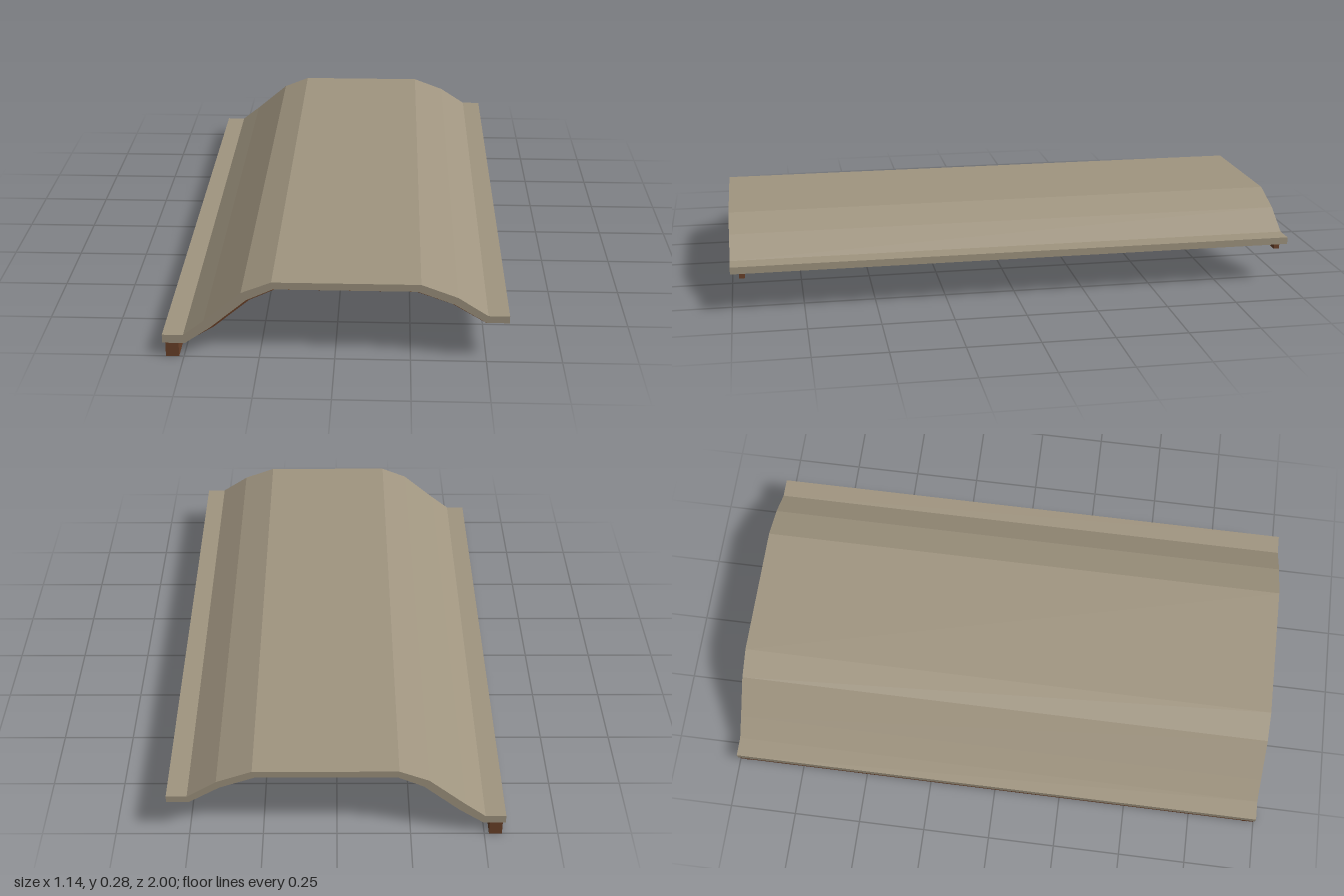
import * as THREE from 'three';

// Cross-section lines running from right edge (-x) to left edge (+x)
const topLine = [[-0.57, 0.08], [-0.5, 0.08], [-0.43, 0.135], [-0.305, 0.24], [-0.205, 0.28],
  [0.28, 0.28], [0.4, 0.235], [0.5, 0.17], [0.57, 0.17]];
const underLine = [[-0.57, 0.05], [-0.495, 0.05], [-0.41, 0.11], [-0.288, 0.214], [-0.2, 0.255],
  [0.27, 0.255], [0.39, 0.21], [0.495, 0.145], [0.57, 0.145]];
const ribLine = [[-0.57, 0.036], [-0.5, 0.036], [-0.4, 0.098], [-0.28, 0.2], [-0.197, 0.239],
  [0.267, 0.239], [0.385, 0.196], [0.495, 0.129], [0.57, 0.129]];

// Solid band between two lines, centred on z
function band(upper, lower, depth) {
  const points = [...lower, ...[...upper].reverse()].map(([x, y]) => new THREE.Vector2(x, y));
  const geometry = new THREE.ExtrudeGeometry(new THREE.Shape(points), { depth, bevelEnabled: false });
  return geometry.translate(0, 0, -depth / 2);
}

export function createModel() {
  const tan = new THREE.MeshStandardMaterial({ name: 'tan panel', color: 0xa09580 });
  const brown = new THREE.MeshStandardMaterial({ name: 'brown trim', color: 0x6b4229 });
  const model = new THREE.Group();
  model.name = 'bentPanel';

  const add = (name, geometry, material, x = 0, y = 0, z = 0) => {
    const mesh = new THREE.Mesh(geometry, material);
    mesh.name = name;
    mesh.position.set(x, y, z);
    model.add(mesh);
  };

  // Folded sheet
  add('panel', band(topLine, underLine, 2), tan);

  // Ribs under both ends
  const rib = band(underLine, ribLine, 0.02);
  for (const side of [1, -1]) add(side > 0 ? 'frontRib' : 'backRib', rib, brown, 0, 0, side * 0.96);

  // Rail under the low edge
  add('edgeRail', new THREE.BoxGeometry(0.044, 0.05, 2), brown, -0.538, 0.025, 0);

  // Small grips on the underside slope
  const grip = new THREE.BoxGeometry(0.03, 0.022, 0.145);
  for (const z of [-0.68, 0, 0.68]) add('grip', grip, tan, -0.459, 0.077, z);

  return model;
}
